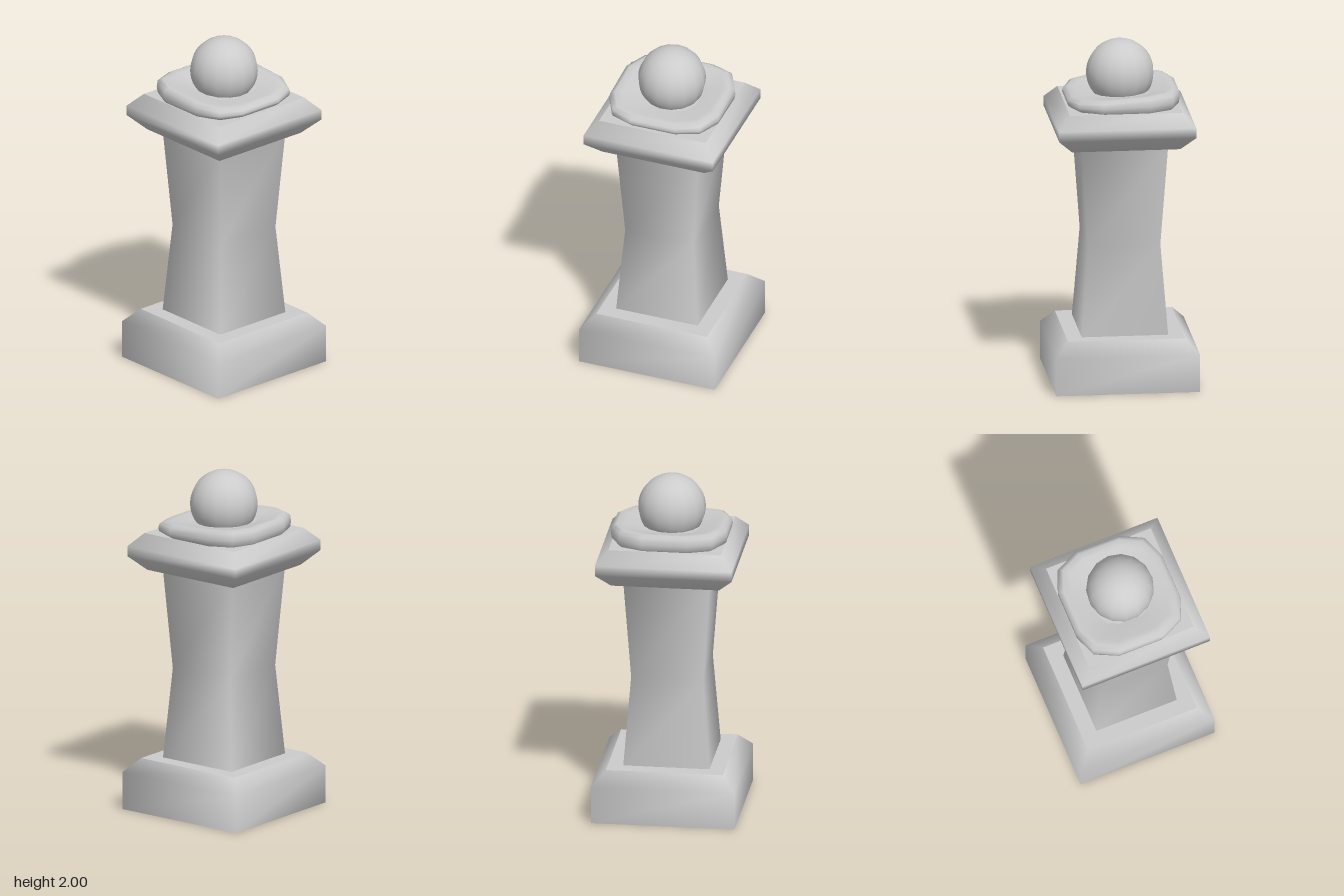
import * as THREE from 'three';

const material = new THREE.MeshStandardMaterial({ color: 0xcccccc });

// Skin a stack of closed rings: smooth sides, flat caps with their own corners
function loft(name, rings) {
  const n = rings[0].length;
  const pos = [], idx = [];
  rings.forEach(r => r.forEach(p => pos.push(...p)));
  for (let i = 0; i < rings.length - 1; i++) {
    for (let j = 0; j < n; j++) {
      const k = (j + 1) % n;
      const a = i * n + j, b = i * n + k, c = a + n, d = b + n;
      idx.push(a, c, b, b, c, d);
    }
  }
  for (const [ring, top] of [[rings[0], false], [rings[rings.length - 1], true]]) {
    const s = pos.length / 3;
    ring.forEach(p => pos.push(...p));
    for (let j = 1; j < n - 1; j++) {
      if (top) idx.push(s, s + j + 1, s + j);
      else idx.push(s, s + j, s + j + 1);
    }
  }
  const g = new THREE.BufferGeometry();
  g.setAttribute('position', new THREE.Float32BufferAttribute(pos, 3));
  g.setIndex(idx);
  g.computeVertexNormals();
  const mesh = new THREE.Mesh(g, material);
  mesh.name = name;
  return mesh;
}

// Square ring of half width h at height y
const square = ([h, y]) => [[h, y, -h], [h, y, h], [-h, y, h], [-h, y, -h]];

// Rounded, twelve-sided outline of the cushion at full size
const quarter = [[0.335, 0.137], [0.27, 0.272], [0.137, 0.324]];
const outline = [
  ...quarter,
  ...quarter.map(([x, z]) => [-x, z]).reverse(),
  ...quarter.map(([x, z]) => [-x, -z]),
  ...quarter.map(([x, z]) => [x, -z]).reverse(),
];

// Cushion ring; lift makes the rim rise towards the back and the sides
const cushionRing = ([scale, y, lift]) => outline.map(([x, z]) => [
  x * scale,
  y + lift * (-0.06 * z * scale + 0.05 * Math.abs(x) * scale),
  z * scale - 0.005,
]);

export function createModel() {
  const model = new THREE.Group();
  model.name = 'chessPillar';

  // Square plinth with chamfered top
  model.add(loft('base', [[0.415, 0], [0.415, 0.22], [0.338, 0.3]].map(square)));

  // Waisted shaft
  model.add(loft('shaft', [[0.25, 0.29], [0.209, 0.83], [0.25, 1.43]].map(square)));

  // Bevelled capital
  model.add(loft('capital',
    [[0.312, 1.42], [0.395, 1.505], [0.395, 1.565], [0.325, 1.64]].map(square)));

  // Soft cushion with a slightly dished top
  model.add(loft('cushion', [
    [0.93, 1.635, 0], [0.985, 1.65, 0], [1, 1.67, 0.5],
    [0.985, 1.695, 1], [0.91, 1.71, 1], [0.8, 1.708, 1], [0.5, 1.695, 0.6],
  ].map(cushionRing)));

  // Ball finial
  const ball = new THREE.Mesh(new THREE.SphereGeometry(0.195, 15, 24), material);
  ball.name = 'ball';
  ball.position.y = 1.805;
  ball.rotation.y = Math.PI;
  model.add(ball);

  return model;
}
